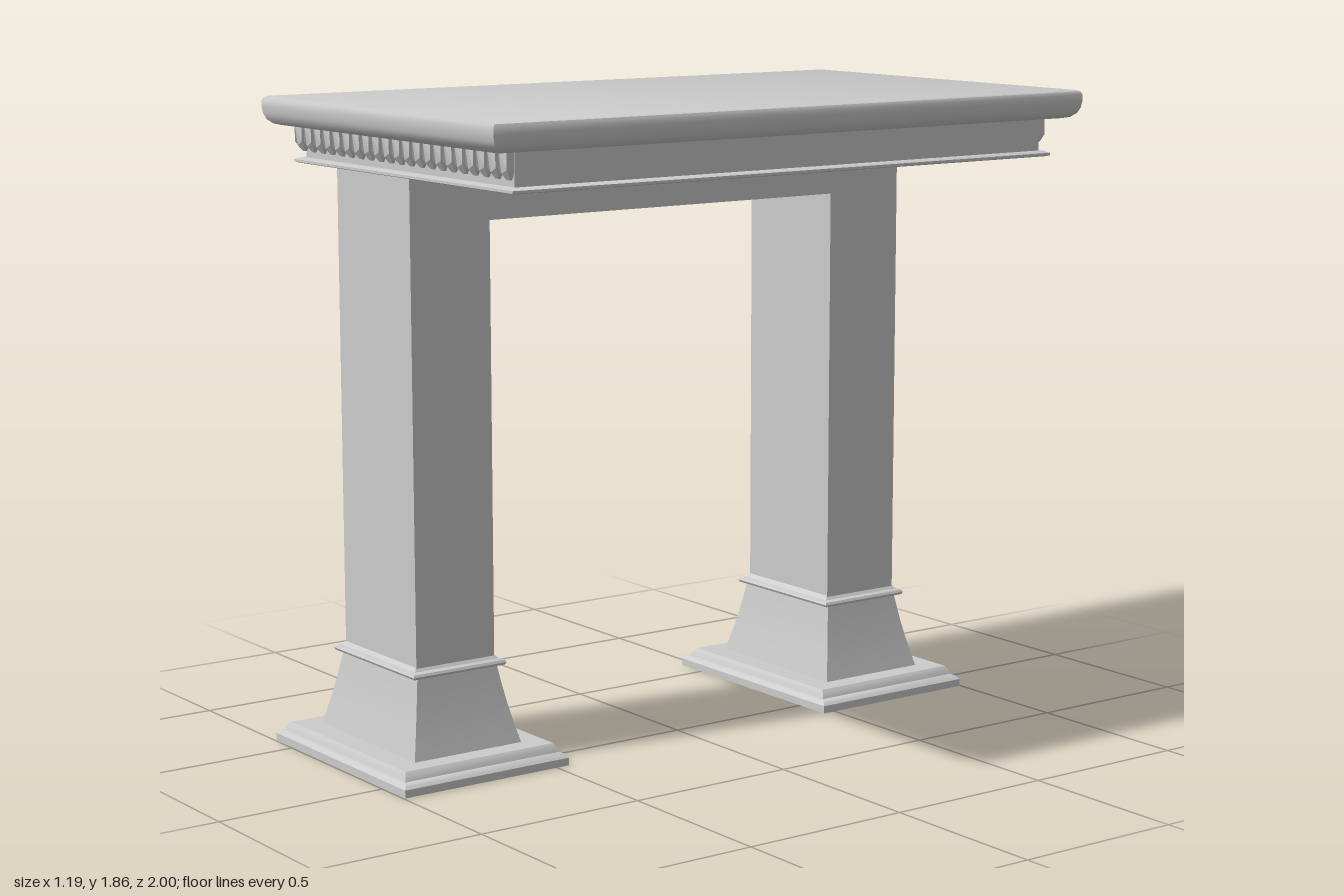
import * as THREE from 'three';
import { toCreasedNormals } from 'three/addons/utils/BufferGeometryUtils.js';
import { RoundedBoxGeometry } from 'three/addons/geometries/RoundedBoxGeometry.js';

const material = new THREE.MeshStandardMaterial({ color: 0xcccccc });
const LEG_X = -0.2425, LEG_Z = 0.727;

function add(parent, name, geometry, x = 0, y = 0, z = 0) {
  const mesh = new THREE.Mesh(geometry, material);
  mesh.name = name;
  mesh.position.set(x, y, z);
  parent.add(mesh);
  return mesh;
}

// Stacks rectangular rings [halfX, halfZ, y] from bottom to top and caps both ends
function loft(rings) {
  const pos = [], idx = [];
  for (const [hx, hz, y] of rings) pos.push(-hx, y, hz, hx, y, hz, hx, y, -hz, -hx, y, -hz);
  const n = rings.length;
  for (let i = 0; i < n - 1; i++) {
    for (let k = 0; k < 4; k++) {
      const a = i * 4 + k, b = i * 4 + (k + 1) % 4;
      idx.push(a, b, b + 4, a, b + 4, a + 4);
    }
  }
  const t = (n - 1) * 4;
  idx.push(0, 2, 1, 0, 3, 2, t, t + 1, t + 2, t, t + 2, t + 3);
  const g = new THREE.BufferGeometry();
  g.setAttribute('position', new THREE.Float32BufferAttribute(pos, 3));
  g.setIndex(idx);
  return toCreasedNormals(g, 0.6);
}

// Two legs and the lintel as one outline in the z-y plane
function archShape() {
  return new THREE.Shape([
    [-0.855, 0.28], [-0.6, 0.28], [-0.6, 1.53], [0.6, 1.53],
    [0.6, 0.28], [0.855, 0.28], [0.855, 1.675], [-0.855, 1.675],
  ].map(([z, y]) => new THREE.Vector2(z, y)));
}

function extrudeX(shape, x0, x1) {
  const g = new THREE.ExtrudeGeometry(shape, { depth: x1 - x0, bevelEnabled: false });
  return g.rotateY(Math.PI / 2).translate(x0, 0, 0);
}

export function createModel() {
  const model = new THREE.Group();
  model.name = 'mantel';

  // Arch body, with a facing on the back that leaves a groove in each leg
  add(model, 'archBody', extrudeX(archShape(), -0.4, -0.05));
  const facing = archShape();
  for (const s of [-1, 1]) {
    const z = s * 0.745;
    facing.holes.push(new THREE.Path([
      [z - 0.037, 0.31], [z - 0.037, 1.56], [z + 0.037, 1.56], [z + 0.037, 0.31],
    ].map(p => new THREE.Vector2(...p))));
  }
  add(model, 'groovedFacing', extrudeX(facing, -0.432, -0.4));

  // Rail across the lintel and the bars set into the grooves
  add(model, 'backRail', new RoundedBoxGeometry(0.06, 0.045, 1.54, 3, 0.014), -0.445, 1.558, 0);
  for (const s of [-1, 1]) {
    add(model, 'grooveBar', new RoundedBoxGeometry(0.03, 1.24, 0.045, 2, 0.01), -0.413, 0.93, s * 0.745);
  }

  // Stepped foot under each leg
  const plinth = loft([
    [0.355, 0.268, 0], [0.355, 0.268, 0.022], [0.345, 0.261, 0.032], [0.33, 0.252, 0.036],
    [0.324, 0.247, 0.05], [0.314, 0.241, 0.06], [0.25, 0.17, 0.06],
  ]);
  const flare = [];
  for (let i = 0; i <= 8; i++) {
    const t = i / 8, k = 1 - t + 0.06 * Math.sin(Math.PI * t) * -1;
    flare.push([0.2 + 0.054 * k, 0.13 + 0.045 * k, 0.058 + 0.222 * t]);
  }
  const pedestal = loft(flare);
  const collar = loft([
    [0.2, 0.135, 0.278], [0.214, 0.148, 0.28], [0.218, 0.152, 0.287],
    [0.214, 0.148, 0.294], [0.2, 0.137, 0.297], [0.188, 0.126, 0.31],
  ]);
  for (const s of [-1, 1]) {
    const foot = new THREE.Group();
    foot.name = 'foot';
    foot.position.set(LEG_X, 0, s * LEG_Z);
    add(foot, 'plinth', plinth);
    add(foot, 'pedestal', pedestal);
    add(foot, 'collar', collar);
    model.add(foot);
  }

  // Cornice: flange, frieze and rounded shelf
  add(model, 'flange', loft([
    [0.545, 0.908, 1.667], [0.555, 0.918, 1.67], [0.555, 0.918, 1.677], [0.54, 0.905, 1.683],
  ]), -0.005);
  add(model, 'frieze', new THREE.BoxGeometry(1.055, 0.1, 1.79), -0.0025, 1.728, 0);
  add(model, 'shelf', loft([
    [0.55, 0.958, 1.774], [0.568, 0.976, 1.778], [0.582, 0.99, 1.79], [0.589, 0.997, 1.806],
    [0.592, 1, 1.825], [0.592, 1, 1.842], [0.587, 0.995, 1.851], [0.578, 0.986, 1.855],
  ]));

  // Dentils with pointed tips along both ends and the back
  const tooth = new THREE.Shape();
  tooth.moveTo(-0.019, 0.076);
  tooth.lineTo(-0.019, 0.028);
  tooth.quadraticCurveTo(-0.017, 0.008, -0.007, 0);
  tooth.lineTo(0.007, 0);
  tooth.quadraticCurveTo(0.017, 0.008, 0.019, 0.028);
  tooth.lineTo(0.019, 0.076);
  const dentil = new THREE.ExtrudeGeometry(tooth, { depth: 0.03, bevelEnabled: false, curveSegments: 3 });
  // Slope the outer face inward toward the tip
  const p = dentil.attributes.position;
  for (let i = 0; i < p.count; i++) {
    if (p.getZ(i) > 0.01) p.setZ(i, 0.01 + 0.018 * Math.min(1, p.getY(i) / 0.028));
  }
  dentil.computeVertexNormals();

  const dentils = new THREE.Group();
  dentils.name = 'dentils';
  model.add(dentils);
  for (let i = 0; i < 21; i++) {
    const x = -0.535 + i * 0.052;
    add(dentils, 'frontDentil', dentil, x, 1.7, 0.89);
    add(dentils, 'rearDentil', dentil, x, 1.7, -0.89).rotation.y = Math.PI;
  }
  for (let i = 0; i < 35; i++) {
    add(dentils, 'backDentil', dentil, -0.53, 1.7, -0.884 + i * 0.052).rotation.y = -Math.PI / 2;
  }
  return model;
}
